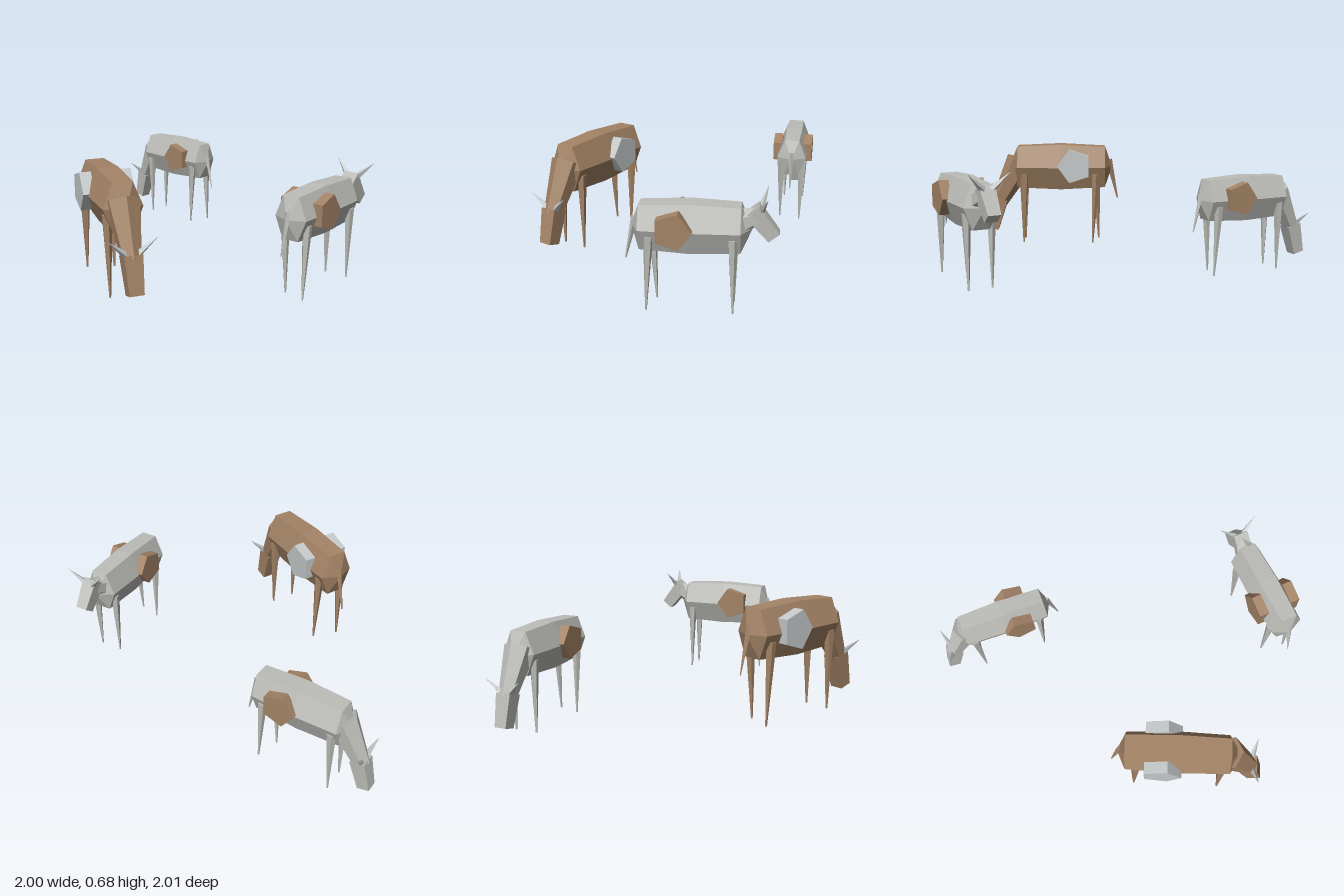
import * as THREE from 'three';

const makeMat = (name, color) => {
  const m = new THREE.MeshStandardMaterial({ color, flatShading: true });
  m.name = name;
  return m;
};

// Tapered limb from a to b; corner turns the cross-section
function limb(name, mat, a, b, ra, rb, sides, corner = 0) {
  const p = new THREE.Vector3(...a), q = new THREE.Vector3(...b);
  const dir = q.clone().sub(p);
  const geo = new THREE.CylinderGeometry(rb, ra, dir.length(), sides, 1, false, corner);
  const mesh = new THREE.Mesh(geo, mat);
  mesh.name = name;
  mesh.position.copy(p).add(q).multiplyScalar(0.5);
  mesh.quaternion.setFromUnitVectors(new THREE.Vector3(0, 1, 0), dir.normalize());
  return mesh;
}

// One cow facing +z
function cow(name, hide, patch, horn, grazing) {
  const g = new THREE.Group();
  g.name = name;

  // Six-sided barrel body, swelling slightly in the middle
  const profile = [[0, -0.315], [0.9, -0.27], [1, 0], [0.92, 0.265], [0, 0.325]];
  const bodyGeo = new THREE.LatheGeometry(profile.map(p => new THREE.Vector2(...p)), 6, Math.PI / 6);
  bodyGeo.rotateX(Math.PI / 2);
  bodyGeo.scale(0.11, 0.138 / 0.866, 1);
  const body = new THREE.Mesh(bodyGeo, hide);
  body.name = 'body';
  body.position.y = 0.468;
  g.add(body);

  // Neck and head, lowered to the grass or raised
  const pose = grazing
    ? { neck: [[0, 0.5, 0.25], [0, 0.24, 0.39]], r: [0.09, 0.05],
        head: [[0, 0.265, 0.38], [0, 0.08, 0.43]], horn: [0.27, 0.395], tip: [0.355, 0.425] }
    : { neck: [[0, 0.5, 0.24], [0, 0.54, 0.35]], r: [0.075, 0.048],
        head: [[0, 0.575, 0.32], [0, 0.43, 0.437]], horn: [0.575, 0.365], tip: [0.665, 0.4] };
  g.add(limb('neck', hide, ...pose.neck, ...pose.r, 6));
  g.add(limb('head', hide, ...pose.head, 0.066, 0.052, 4, Math.PI / 4));

  for (const s of [-1, 1]) {
    g.add(limb('horn', horn, [s * 0.025, ...pose.horn], [s * 0.118, ...pose.tip], 0.02, 0.001, 4));

    // Spiky legs
    g.add(limb('frontLeg', hide, [s * 0.072, 0.43, 0.225], [s * 0.07, 0, 0.23], 0.028, 0.005, 5));
    g.add(limb('backLeg', hide, [s * 0.072, 0.43, -0.215], [s * 0.07, 0, -0.215 + s * 0.02], 0.028, 0.005, 5));

    // Five-sided coat patch on each flank
    const patchGeo = new THREE.CylinderGeometry(0.105, 0.105, 0.06, 5);
    patchGeo.rotateZ(Math.PI / 2);
    const spot = new THREE.Mesh(patchGeo, patch);
    spot.name = 'patch';
    spot.position.set(s * 0.105, 0.48, -0.085);
    g.add(spot);
  }

  g.add(limb('tail', hide, [0, 0.51, -0.295], [0, 0.27, -0.35], 0.02, 0.004, 4));
  return g;
}

export function createModel() {
  const grey = makeMat('grey hide', 0xbcbcb8);
  const brown = makeMat('brown hide', 0xa38366);
  const pale = makeMat('pale horn', 0xc4c8c8);

  const herd = new THREE.Group();
  herd.name = 'cowHerd';
  // name, hide, patch, grazing, x, z, heading x, heading z, size
  const cows = [
    ['brownCow', brown, pale, true, -0.305, 0.575, 0.74, 0.67, 1.12],
    ['greyCow', grey, brown, false, 0.79, 0.125, 0.24, -0.97, 1],
    ['smallGreyCow', grey, brown, true, -0.57, -0.78, -0.95, -0.31, 0.95],
  ];
  for (const [name, hide, patch, grazing, x, z, hx, hz, size] of cows) {
    const c = cow(name, hide, patch, pale, grazing);
    c.position.set(x, 0, z);
    c.rotation.y = Math.atan2(hx, hz);
    c.scale.setScalar(size);
    herd.add(c);
  }
  return herd;
}
